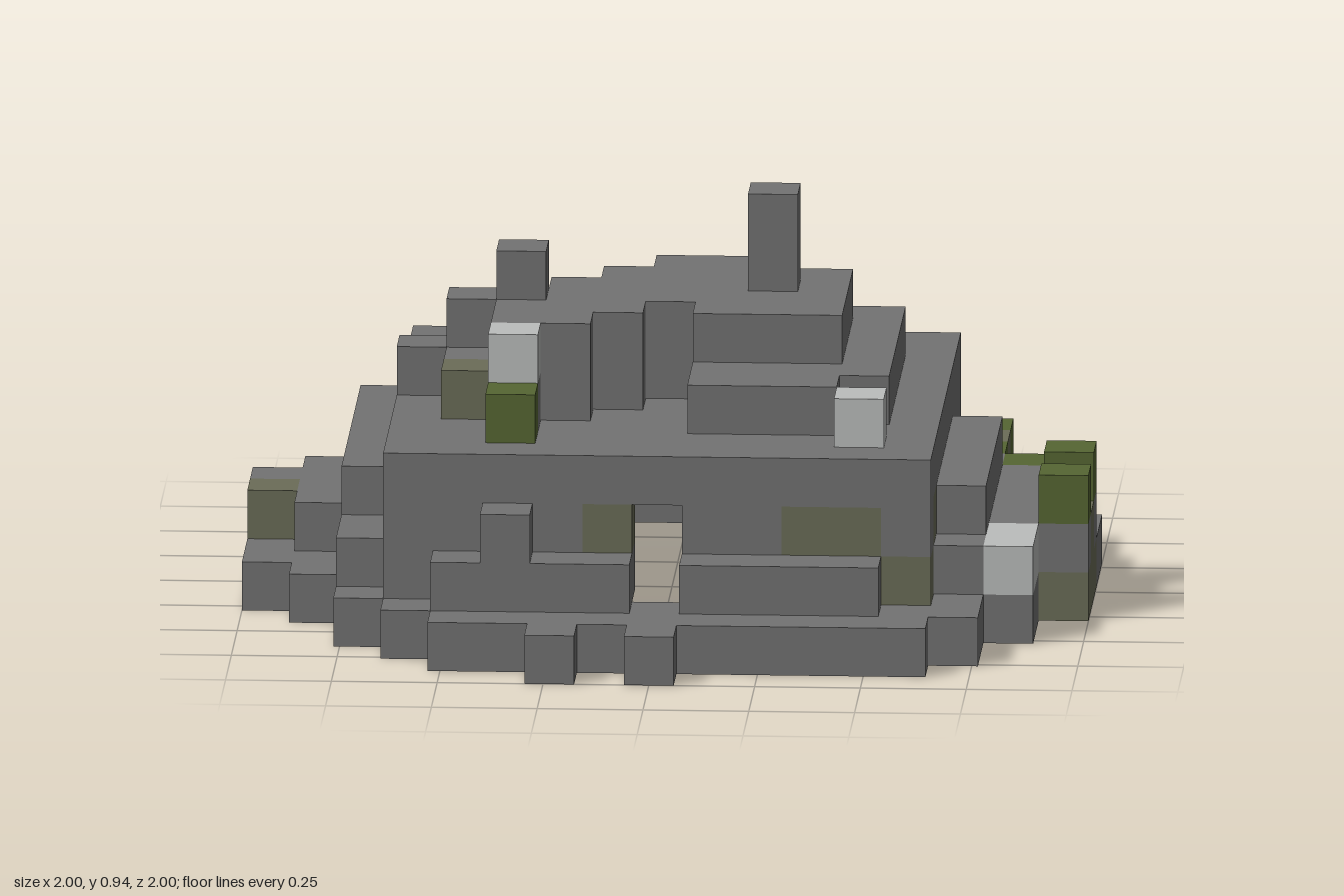
import * as THREE from 'three';
import { mergeGeometries } from 'three/addons/utils/BufferGeometryUtils.js';

const N = 17;          // blocks along the longest side
const U = 2 / N;       // block size

export function createModel() {
  const colours = {
    stone: 0x737373, mossyStone: 0x6b6d58, moss: 0x566633, paleStone: 0xbcbebd,
  };
  const materials = {};
  for (const [name, color] of Object.entries(colours)) {
    materials[name] = new THREE.MeshStandardMaterial({ color });
    materials[name].name = name;
  }

  // Block grid: later fills replace earlier ones
  const blocks = new Map();
  const key = (x, y, z) => `${x},${y},${z}`;
  const fill = (part, colour, [x0, x1], [y0, y1], [z0, z1]) => {
    for (let x = x0; x < x1; x++)
      for (let y = y0; y < y1; y++)
        for (let z = z0; z < z1; z++) blocks.set(key(x, y, z), { x, y, z, part, colour });
  };
  const clear = ([x0, x1], [y0, y1], [z0, z1]) => {
    for (let x = x0; x < x1; x++)
      for (let y = y0; y < y1; y++)
        for (let z = z0; z < z1; z++) blocks.delete(key(x, y, z));
  };
  // Rows of one layer: [z, xStart, xEnd]
  const layer = (part, y, rows) =>
    rows.forEach(([z, a, b]) => fill(part, 'stone', [a, b], [y, y + 1], [z, z + 1]));
  const cell = (part, colour, x, y, z) =>
    fill(part, colour, [x, x + 1], [y, y + 1], [z, z + 1]);

  // Ragged foundation ring, open under the house
  layer('foundation', 0, [
    [0, 5, 11], [1, 4, 13], [2, 4, 15], [3, 1, 15], [4, 1, 15], [5, 1, 16],
    [6, 0, 17], [7, 0, 17], [8, 0, 17], [9, 0, 17], [10, 0, 17], [11, 1, 16],
    [12, 2, 16], [13, 2, 15], [14, 3, 15], [15, 4, 14], [16, 6, 7], [16, 8, 9],
  ]);
  clear([3, 14], [0, 1], [3, 14]);
  cell('foundation', 'mossyStone', 5, 0, 0);
  fill('foundation', 'mossyStone', [16, 17], [0, 1], [8, 11]);

  // Hollow house with a doorway in the front wall
  fill('house', 'stone', [3, 14], [1, 4], [3, 14]);
  clear([4, 13], [1, 3], [4, 13]);
  clear([8, 9], [1, 3], [13, 14]);
  fill('house', 'mossyStone', [3, 5], [1, 3], [3, 4]);
  [[6, 2, 3], [7, 2, 13], [11, 2, 13], [12, 2, 13], [13, 1, 13], [13, 2, 12]]
    .forEach(([x, y, z]) => cell('house', 'mossyStone', x, y, z));

  // Rubble on the front
  layer('frontRubble', 1, [[14, 4, 8], [14, 9, 13]]);
  cell('frontRubble', 'stone', 5, 2, 14);

  // Rubble on the back
  layer('backRubble', 1, [[1, 7, 10], [2, 6, 15]]);
  layer('backRubble', 2, [[2, 7, 10]]);
  fill('backRubble', 'moss', [11, 13], [1, 2], [1, 2]);
  cell('backRubble', 'moss', 10, 2, 2);
  cell('backRubble', 'paleStone', 12, 2, 2);
  cell('backRubble', 'moss', 14, 1, 2);

  // Stepped rubble on the -x side
  fill('rightRubble', 'stone', [2, 3], [1, 2], [4, 13]);
  fill('rightRubble', 'stone', [2, 3], [2, 3], [4, 11]);
  fill('rightRubble', 'stone', [1, 2], [1, 2], [6, 10]);
  fill('rightRubble', 'stone', [0, 1], [1, 2], [7, 9]);
  cell('rightRubble', 'mossyStone', 0, 1, 8);

  // Stepped rubble on the +x side
  fill('leftRubble', 'stone', [14, 15], [1, 2], [3, 13]);
  fill('leftRubble', 'stone', [14, 15], [2, 3], [6, 12]);
  fill('leftRubble', 'stone', [15, 16], [1, 2], [6, 11]);
  fill('leftRubble', 'stone', [16, 17], [1, 2], [8, 11]);
  cell('leftRubble', 'mossyStone', 14, 1, 3);
  cell('leftRubble', 'mossyStone', 16, 1, 9);
  cell('leftRubble', 'moss', 14, 1, 4);
  cell('leftRubble', 'moss', 15, 1, 5);
  cell('leftRubble', 'moss', 16, 2, 8);
  cell('leftRubble', 'moss', 16, 2, 10);
  fill('leftRubble', 'paleStone', [15, 16], [1, 2], [11, 13]);

  // Two stepped roof tiers
  layer('lowerRoof', 4, [
    [4, 7, 11], [5, 6, 13], [6, 5, 13], [7, 4, 13], [8, 3, 13], [9, 4, 8], [9, 9, 13],
    [10, 4, 7], [10, 9, 13], [11, 5, 6], [11, 9, 12],
  ]);
  cell('lowerRoof', 'mossyStone', 4, 4, 10);
  cell('lowerRoof', 'moss', 5, 4, 12);
  cell('lowerRoof', 'paleStone', 12, 4, 12);
  layer('upperRoof', 5, [
    [5, 8, 10], [6, 7, 12], [7, 6, 12], [8, 4, 12], [9, 5, 8], [9, 9, 12], [10, 5, 7],
  ]);
  cell('upperRoof', 'paleStone', 5, 5, 11);

  // Chimneys
  cell('shortChimney', 'stone', 5, 6, 8);
  fill('tallChimney', 'stone', [10, 11], [6, 8], [7, 8]);

  // One square per exposed block side
  const sides = [
    [1, 0, 0], [-1, 0, 0], [0, 1, 0], [0, -1, 0], [0, 0, 1], [0, 0, -1],
  ].map(([dx, dy, dz]) => {
    const face = new THREE.PlaneGeometry(U, U).translate(0, 0, U / 2);
    if (dx) face.rotateY(dx * Math.PI / 2);
    if (dy) face.rotateX(-dy * Math.PI / 2);
    if (dz < 0) face.rotateY(Math.PI);
    return { dx, dy, dz, face };
  });
  const parts = new Map();
  for (const { x, y, z, part, colour } of blocks.values()) {
    for (const { dx, dy, dz, face } of sides) {
      if (blocks.has(key(x + dx, y + dy, z + dz))) continue;
      if (!parts.has(part)) parts.set(part, {});
      const list = (parts.get(part)[colour] ??= []);
      list.push(face.clone().translate((x + 0.5) * U - 1, (y + 0.5) * U, (z + 0.5) * U - 1));
    }
  }

  // One group per part, one mesh per colour
  const model = new THREE.Group();
  model.name = 'ruinedStoneHut';
  for (const [part, byColour] of parts) {
    const group = new THREE.Group();
    group.name = part;
    for (const [colour, faces] of Object.entries(byColour)) {
      const mesh = new THREE.Mesh(mergeGeometries(faces), materials[colour]);
      mesh.name = `${part} ${colour}`;
      group.add(mesh);
    }
    model.add(group);
  }
  return model;
}
